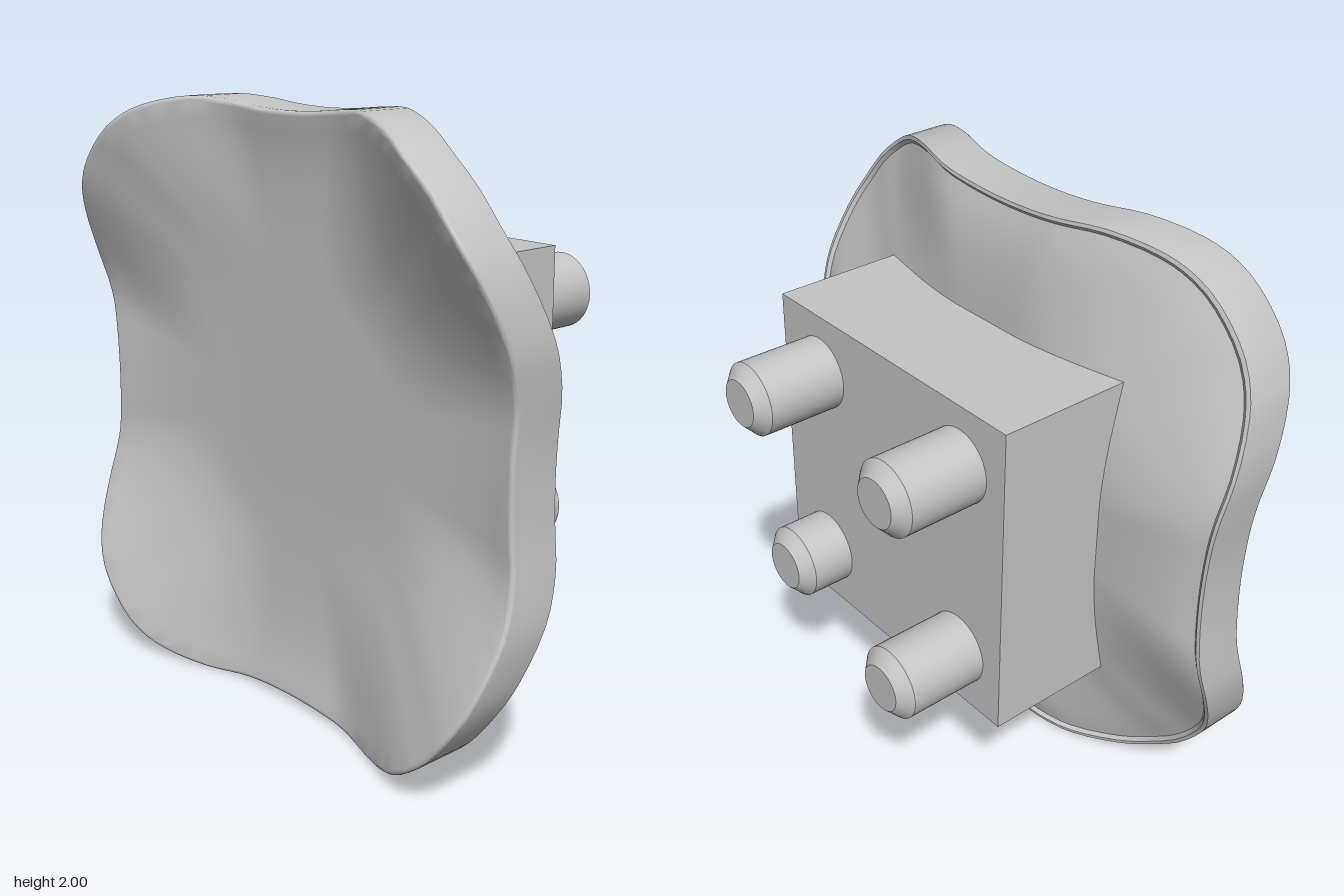
import * as THREE from 'three';
import { toCreasedNormals } from 'three/addons/utils/BufferGeometryUtils.js';

const { smoothstep, lerp, radToDeg } = THREE.MathUtils;

// Wavy rounded-square outline, one eighth mirrored around
function outlinePoints(count) {
  const eighth = [[0.975, 0], [0.98, 0.14], [0.993, 0.28], [0.999, 0.42], [0.965, 0.588], [0.917, 0.69], [0.818, 0.818]];
  const quarter = [...eighth, ...eighth.slice(1, -1).reverse().map(([x, y]) => [y, x])];
  const pts = [];
  for (let q = 0; q < 4; q++) {
    for (const [x, y] of quarter) {
      pts.push(new THREE.Vector3(x, y, 0).applyAxisAngle(new THREE.Vector3(0, 0, 1), q * Math.PI / 2));
    }
  }
  const curve = new THREE.CatmullRomCurve3(pts, true);
  return Array.from({ length: count }, (_, i) => curve.getPoint(i / count));
}

// How far a direction belongs to a raised corner: 0 along the axes, 1 on the diagonals
function cornerWeight(p) {
  const x = Math.abs(p.x), y = Math.abs(p.y);
  return smoothstep(radToDeg(Math.atan2(Math.min(x, y), Math.max(x, y))), 12, 42);
}

// Height of the back face at scale t and corner weight w
const backZ = (t, w) => 0.16 + 0.05 * t ** 5 + 0.194 * w * smoothstep(t, 0.38, 1.2);

// Dished plate of even thickness, closed from back centre to front centre
function plateGeometry() {
  const N = 144, steps = 20, edge = 0.982, wall = 0.168, thickness = 0.184;
  const rings = []; // [scale, height added to the back face]
  for (let i = 0; i <= steps; i++) {
    const t = 0.975 * i / steps;
    rings.push([t, 0.02 * t ** 16]); // shallow groove inside the rim
  }
  rings.push([0.988, 0], [1, 0]);
  for (let i = 0; i <= 5; i++) {
    const a = i / 5 * Math.PI / 2;
    rings.push([1 - (1 - edge) * (1 - Math.cos(a)), lerp(wall, thickness, Math.sin(a))]);
  }
  for (let i = steps - 1; i >= 0; i--) rings.push([edge * i / steps, thickness]);

  const pos = [], index = [];
  const rim = outlinePoints(N);
  for (const [t, lift] of rings) {
    for (const p of rim) pos.push(p.x * t, p.y * t, backZ(t, cornerWeight(p)) + lift);
  }
  for (let r = 0; r < rings.length - 1; r++) {
    for (let j = 0; j < N; j++) {
      const a = r * N + j, b = r * N + (j + 1) % N, c = b + N, d = a + N;
      if (r === 0) index.push(a, c, d);
      else if (r === rings.length - 2) index.push(a, b, d);
      else index.push(a, b, c, a, c, d);
    }
  }
  const geo = new THREE.BufferGeometry();
  geo.setAttribute('position', new THREE.Float32BufferAttribute(pos, 3));
  geo.setIndex(index);
  return toCreasedNormals(geo, 0.6);
}

// Chamfered round peg pointing backwards from the block
function pegGeometry(radius, length) {
  const profile = [[radius, 0], [radius, length - 0.042], [radius - 0.045, length], [0, length]];
  const geo = new THREE.LatheGeometry(profile.map(([x, y]) => new THREE.Vector2(x, y)), 48);
  geo.rotateX(-Math.PI / 2);
  return toCreasedNormals(geo, 0.5);
}

export function createModel() {
  const model = new THREE.Group();
  model.name = 'contouredKnob';
  const grey = new THREE.MeshStandardMaterial({ color: 0xc4c4c4 });
  grey.name = 'grey';

  const add = (name, geo, x, y, z) => {
    const mesh = new THREE.Mesh(geo, grey);
    mesh.name = name;
    mesh.position.set(x, y, z);
    model.add(mesh);
  };

  add('dishedPlate', plateGeometry(), 0, 1, 0);

  // Mounting block, its front buried in the plate
  const back = -0.237, front = 0.25;
  add('mountingBlock', new THREE.BoxGeometry(1.126, 1.126, front - back), 0, 1, (front + back) / 2);

  // Four pegs, the lower left one shorter
  for (const sx of [-1, 1]) {
    for (const sy of [-1, 1]) {
      const short = sx > 0 && sy < 0;
      const name = (sy > 0 ? 'upper' : 'lower') + (sx > 0 ? 'Left' : 'Right') + 'Peg';
      add(name, pegGeometry(short ? 0.13 : 0.126, short ? 0.195 : 0.318), sx * 0.357, 1 + sy * 0.356, back);
    }
  }
  return model;
}
